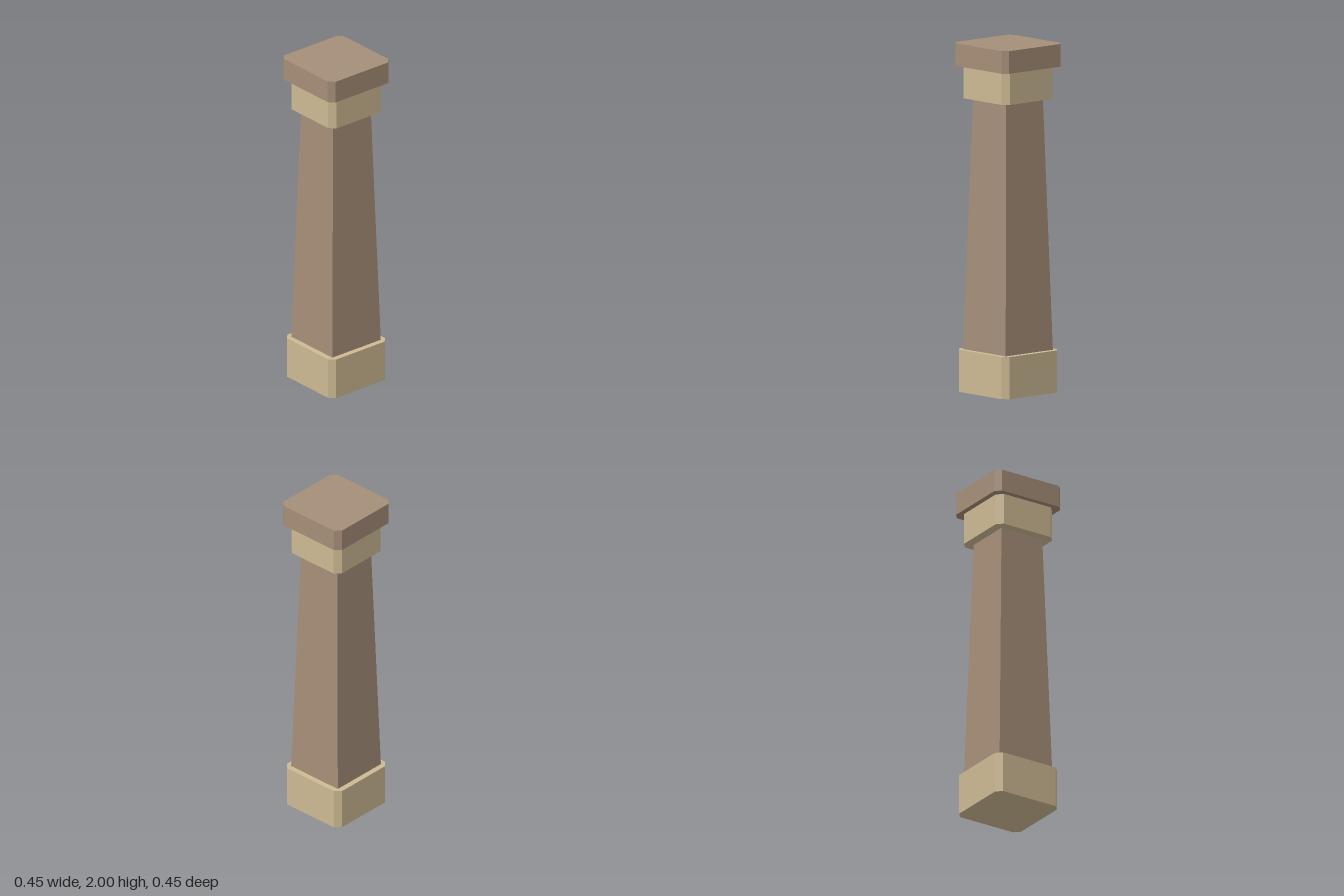
import * as THREE from 'three';

const brownStone = new THREE.MeshStandardMaterial({ color: 0xa58e78 });
const tanStone = new THREE.MeshStandardMaterial({ color: 0xcdb993 });
brownStone.name = 'brownStone';
tanStone.name = 'tanStone';

// Square slab with cut vertical corners, from y0 to y1
function chamferedBlock(name, half, cut, y0, y1, material) {
  const a = half, b = half - cut;
  const outline = [[a, -b], [a, b], [b, a], [-b, a], [-a, b], [-a, -b], [-b, -a], [b, -a]];
  const shape = new THREE.Shape(outline.map(([x, y]) => new THREE.Vector2(x, y)));
  const geometry = new THREE.ExtrudeGeometry(shape, { depth: y1 - y0, bevelEnabled: false });
  geometry.rotateX(-Math.PI / 2).translate(0, y0, 0);
  const mesh = new THREE.Mesh(geometry, material);
  mesh.name = name;
  return mesh;
}

// Four-sided shaft that narrows towards the top
function taperedShaft(bottomHalf, topHalf, y0, y1) {
  const geometry = new THREE.BoxGeometry(2, y1 - y0, 2);
  const p = geometry.attributes.position;
  for (let i = 0; i < p.count; i++) {
    const half = p.getY(i) > 0 ? topHalf : bottomHalf;
    p.setX(i, p.getX(i) * half);
    p.setZ(i, p.getZ(i) * half);
  }
  geometry.computeVertexNormals();
  geometry.translate(0, (y0 + y1) / 2, 0);
  const mesh = new THREE.Mesh(geometry, brownStone);
  mesh.name = 'shaft';
  return mesh;
}

export function createModel() {
  const pillar = new THREE.Group();
  pillar.name = 'pillar';
  pillar.add(
    chamferedBlock('base', 0.213, 0.033, 0, 0.242, tanStone),
    taperedShaft(0.18, 0.14, 0.242, 1.684),
    chamferedBlock('capital', 0.194, 0.034, 1.684, 1.87, tanStone),
    chamferedBlock('topSlab', 0.226, 0.032, 1.87, 2, brownStone),
  );
  return pillar;
}
